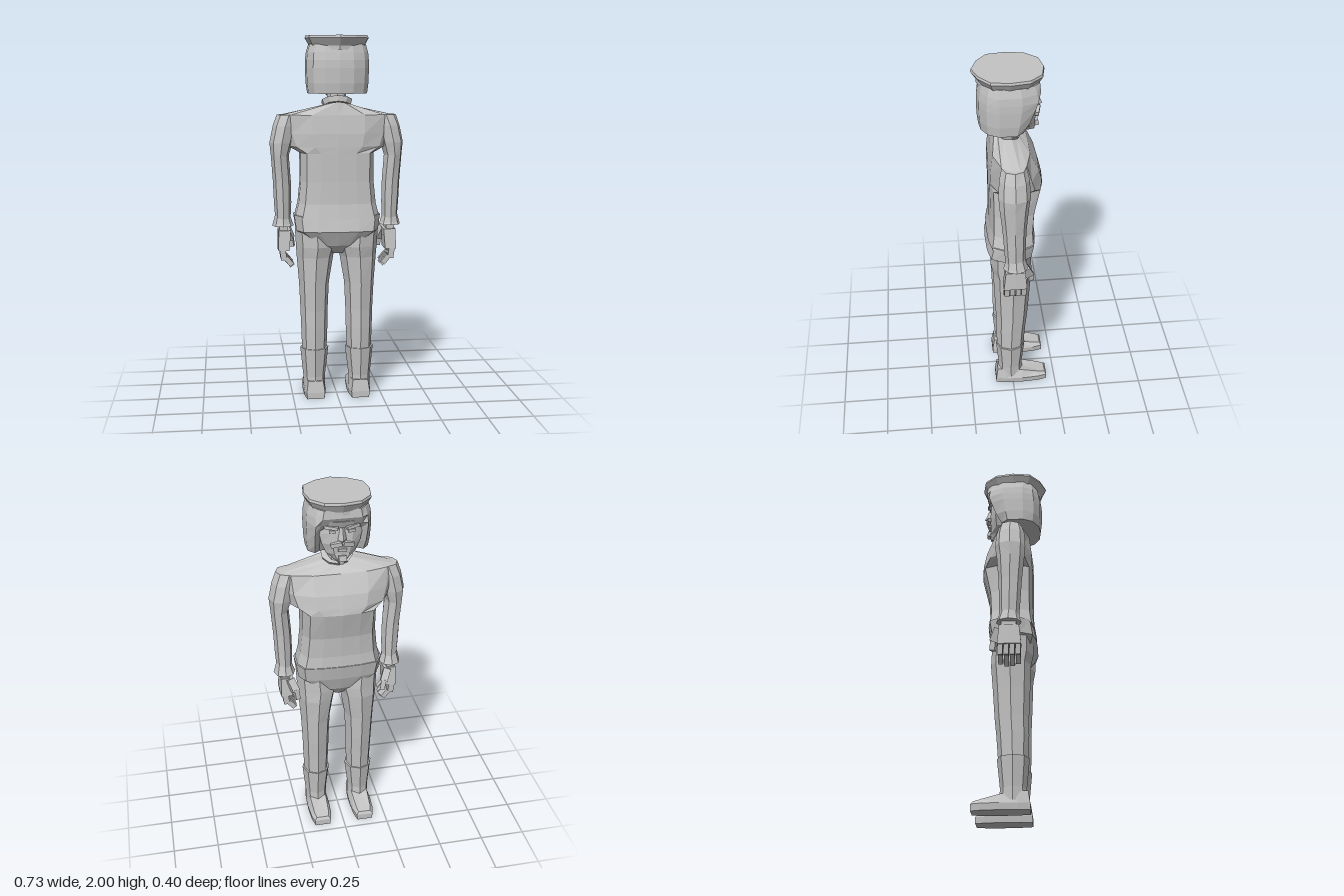
import * as THREE from 'three';

const grey = new THREE.MeshStandardMaterial({ color: 0xc4c4c4, flatShading: true, side: THREE.DoubleSide });
grey.name = 'plain grey';

// Closed skin over a stack of rings, listed from bottom to top; each ring runs from +x towards +z
function loft(rings) {
  const pos = [];
  const tri = (...pts) => pts.forEach(p => pos.push(...p));
  const n = rings[0].length;
  for (let i = 0; i < rings.length - 1; i++) {
    for (let j = 0; j < n; j++) {
      const k = (j + 1) % n;
      const a = rings[i][j], b = rings[i][k], c = rings[i + 1][k], d = rings[i + 1][j];
      tri(a, d, b);
      tri(b, d, c);
    }
  }
  const mid = r => [0, 1, 2].map(q => r.reduce((s, p) => s + p[q], 0) / n);
  const low = rings[0], high = rings[rings.length - 1];
  for (let j = 0; j < n; j++) {
    const k = (j + 1) % n;
    tri(mid(low), low[j], low[k]);
    tri(mid(high), high[k], high[j]);
  }
  const g = new THREE.BufferGeometry();
  g.setAttribute('position', new THREE.Float32BufferAttribute(pos, 3));
  g.computeVertexNormals();
  return g;
}

// Ring from a half outline [x, z, lift], front (-z) to back, mirrored about x = cx
function half(y, pts, cx = 0) {
  const right = pts.map(([x, z, lift = 0]) => [cx + x, y + lift, z]);
  const left = pts.filter(p => p[0] > 0).reverse().map(([x, z, lift = 0]) => [cx - x, y + lift, z]);
  return [...right, ...left];
}

// Eight-sided limb ring between given x and z limits
function limb(y, x0, x1, zFront, zBack) {
  const ring = [];
  for (let i = 0; i < 8; i++) {
    const a = i * Math.PI / 4;
    ring.push([(x0 + x1) / 2 + Math.cos(a) * (x1 - x0) / 2, y,
      (zFront + zBack) / 2 + Math.sin(a) * (zBack - zFront) / 2]);
  }
  return ring;
}

// Body cross-section; side is how far the flank spreads in z
const body = (y, w, zf, zb, side = 0.5) => half(y, [
  [0, zf], [w * 0.48, zf * 0.96], [w * 0.85, zf * (side + 0.25)], [w, zf * side * 0.6],
  [w, zb * side * 0.6], [w * 0.85, zb * (side + 0.25)], [w * 0.48, zb * 0.97], [0, zb]]);

function block(w, h, d, x, y, z, rx = 0, ry = 0, rz = 0) {
  const g = new THREE.BoxGeometry(w, h, d).toNonIndexed();
  g.rotateX(rx).rotateY(ry).rotateZ(rz).translate(x, y, z);
  return g;
}

function mirrored(geometry) {
  const g = geometry.clone().scale(-1, 1, 1);
  const p = g.attributes.position;
  const a = new THREE.Vector3(), b = new THREE.Vector3();
  for (let i = 0; i < p.count; i += 3) {
    a.fromBufferAttribute(p, i + 1);
    b.fromBufferAttribute(p, i + 2);
    p.setXYZ(i + 1, b.x, b.y, b.z);
    p.setXYZ(i + 2, a.x, a.y, a.z);
  }
  g.computeVertexNormals();
  return g;
}

export function createModel() {
  const group = new THREE.Group();
  const add = (name, g) => {
    const m = new THREE.Mesh(g, grey);
    m.name = name;
    group.add(m);
  };
  const pair = (name, g) => {
    add(name + 'Left', g);
    add(name + 'Right', mirrored(g));
  };

  // Jacket, widening to a diamond at the shoulders
  add('jacket', loft([
    body(1.02, 0.232, -0.125, 0.135, 0.6),
    body(1.1, 0.212, -0.12, 0.122, 0.6),
    body(1.22, 0.2, -0.128, 0.12, 0.6),
    body(1.375, 0.2, -0.165, 0.122, 0.6),
    body(1.41, 0.265, -0.158, 0.122, 0.42),
    body(1.48, 0.29, -0.14, 0.12, 0.36),
    body(1.58, 0.3, -0.09, 0.108, 0.4),
    half(1.63, [[0, -0.05, -0.025], [0.035, -0.048, -0.02], [0.06, -0.03, -0.015], [0.075, 0, 0],
      [0.075, 0.04, 0], [0.06, 0.07, 0.01], [0.035, 0.088, 0.015], [0, 0.092, 0.02]])]));

  // Trousers: hips narrowing to the crotch, then two legs
  add('hips', loft([
    body(0.82, 0.03, -0.05, 0.06, 0.6),
    body(0.87, 0.12, -0.085, 0.105, 0.6),
    body(0.95, 0.225, -0.112, 0.142, 0.6),
    body(1.035, 0.237, -0.128, 0.125, 0.6)]));
  pair('leg', loft([
    limb(0.26, 0.058, 0.195, -0.065, 0.09),
    limb(0.4, 0.052, 0.2, -0.075, 0.095),
    limb(0.5, 0.05, 0.203, -0.085, 0.095),
    limb(0.65, 0.043, 0.21, -0.095, 0.102),
    limb(0.8, 0.018, 0.222, -0.107, 0.108),
    limb(0.86, 0.0, 0.226, -0.105, 0.12),
    limb(0.97, 0.01, 0.232, -0.1, 0.12)]));

  // Boots: shaft and foot with a low, sloping toe
  pair('bootShaft', loft([
    limb(0.05, 0.065, 0.188, -0.06, 0.085),
    limb(0.12, 0.066, 0.19, -0.055, 0.082),
    limb(0.28, 0.047, 0.206, -0.072, 0.097)]));
  const sole = k => [[0, -0.2], [0.046 * k, -0.2], [0.058 * k, -0.15], [0.064 * k, -0.05],
    [0.06 * k, 0.04], [0.05 * k, 0.1], [0, 0.1]];
  pair('foot', loft([
    half(0, sole(0.95), 0.126),
    half(0.035, sole(1.02), 0.126),
    half(0.05, [[0, -0.19], [0.035, -0.19], [0.042, -0.15, 0.01], [0.046, -0.05, 0.035],
      [0.05, 0.04, 0.05], [0.042, 0.09, 0.05], [0, 0.09, 0.05]], 0.126)]));

  // Sleeves and cuffs
  pair('sleeve', loft([
    limb(1.0, 0.255, 0.338, -0.05, 0.055),
    limb(1.1, 0.25, 0.345, -0.052, 0.062),
    limb(1.22, 0.252, 0.35, -0.055, 0.07),
    limb(1.36, 0.262, 0.36, -0.065, 0.085),
    limb(1.43, 0.24, 0.367, -0.075, 0.09),
    limb(1.52, 0.22, 0.348, -0.07, 0.085),
    limb(1.58, 0.2, 0.326, -0.055, 0.07)]));
  pair('cuff', loft([
    limb(0.972, 0.237, 0.357, -0.068, 0.068),
    limb(0.985, 0.243, 0.352, -0.062, 0.062),
    limb(1.03, 0.257, 0.34, -0.048, 0.052)]));

  // Hands with four curled fingers and a thumb
  pair('wrist', block(0.045, 0.1, 0.08, 0.295, 0.96, 0, 0, 0, 0));
  pair('palm', loft([
    half(0.84, [[0, -0.06], [0.03, -0.06], [0.032, 0], [0.03, 0.066], [0, 0.066]], 0.295),
    half(0.95, [[0, -0.05], [0.033, -0.05], [0.035, 0], [0.033, 0.055], [0, 0.055]], 0.29)]));
  [0.049, 0.018, -0.013, -0.044].forEach((z, i) => {
    const short = i === 0 || i === 3 ? 0.012 : 0;
    pair('fingerBase' + i, block(0.032, 0.07, 0.027, 0.3, 0.822, z, 0, 0, -0.15));
    pair('fingerTip' + i, block(0.027, 0.065 - short, 0.025, 0.268, 0.773 + short / 2, z, 0, 0, -0.7));
  });
  pair('thumbBase', block(0.04, 0.075, 0.045, 0.262, 0.915, -0.065, 0.4, 0.3, -0.25));
  pair('thumbTip', block(0.026, 0.06, 0.03, 0.245, 0.868, -0.085, 0.1, 0.3, -0.1));

  // Neck and tilted collar
  add('neck', loft([
    limb(1.58, -0.052, 0.052, -0.035, 0.07),
    limb(1.74, -0.05, 0.05, -0.05, 0.05)]));
  const collar = new THREE.CylinderGeometry(0.086, 0.076, 0.03, 10).toNonIndexed();
  collar.scale(1, 1, 0.9).rotateX(-0.42).translate(0, 1.64, 0.022);
  add('collar', collar);

  // Hair: rounded at the back, hollowed in front around the face
  const hair = (y, w, edge, inset, zb) => half(y, [
    [0, inset], [w * 0.62, inset], [w * 0.8, edge], [w, edge * 0.35], [w, 0.07],
    [w * 0.82, zb * 0.75], [w * 0.45, zb * 0.95], [0, zb]]);
  add('hair', loft([
    hair(1.695, 0.158, -0.055, -0.03, 0.165),
    hair(1.75, 0.165, -0.085, -0.06, 0.172),
    hair(1.83, 0.168, -0.115, -0.09, 0.174),
    hair(1.87, 0.167, -0.128, -0.12, 0.172),
    hair(1.91, 0.163, -0.12, -0.142, 0.165),
    hair(1.955, 0.15, -0.11, -0.138, 0.155)]));

  // Face narrowing to a pointed beard
  const face = (y, w, zf, zb) => half(y, [[0, zf], [w * 0.5, zf * 0.97], [w, zf * 0.7], [w, zb], [0, zb]]);
  add('face', loft([
    face(1.65, 0.018, -0.125, -0.085),
    face(1.68, 0.045, -0.13, -0.05),
    face(1.71, 0.078, -0.125, -0.02),
    face(1.765, 0.1, -0.13, 0),
    face(1.82, 0.112, -0.126, 0),
    face(1.85, 0.116, -0.122, 0),
    face(1.89, 0.116, -0.138, 0)]));
  add('nose', loft([
    half(1.785, [[0, -0.15], [0.022, -0.125], [0, -0.11]]),
    half(1.795, [[0, -0.162], [0.023, -0.125], [0, -0.11]]),
    half(1.855, [[0, -0.135], [0.012, -0.12], [0, -0.11]])]));
  pair('moustache', block(0.06, 0.022, 0.026, 0.03, 1.769, -0.133, 0, -0.25, -0.25));
  pair('brow', block(0.07, 0.016, 0.025, 0.055, 1.858, -0.122, 0, -0.3, 0.12));
  pair('eye', block(0.035, 0.016, 0.009, 0.05, 1.835, -0.124, 0, -0.1, 0));
  add('lowerLip', block(0.045, 0.014, 0.02, 0, 1.737, -0.13));
  add('beardTuft', block(0.04, 0.03, 0.02, 0, 1.69, -0.134, 0.2));

  // Flat-topped cap flaring outward
  const cap = (y, k) => half(y, [
    [0, -0.17 * k], [0.095 * k, -0.152 * k], [0.157 * k, -0.085 * k], [0.173 * k, 0.015 * k],
    [0.158 * k, 0.112 * k], [0.085 * k, 0.17 * k], [0, 0.2 * k]]);
  add('cap', loft([cap(1.925, 0.86), cap(1.945, 0.86), cap(1.987, 1), cap(2, 0.98)]));
  return group;
}
